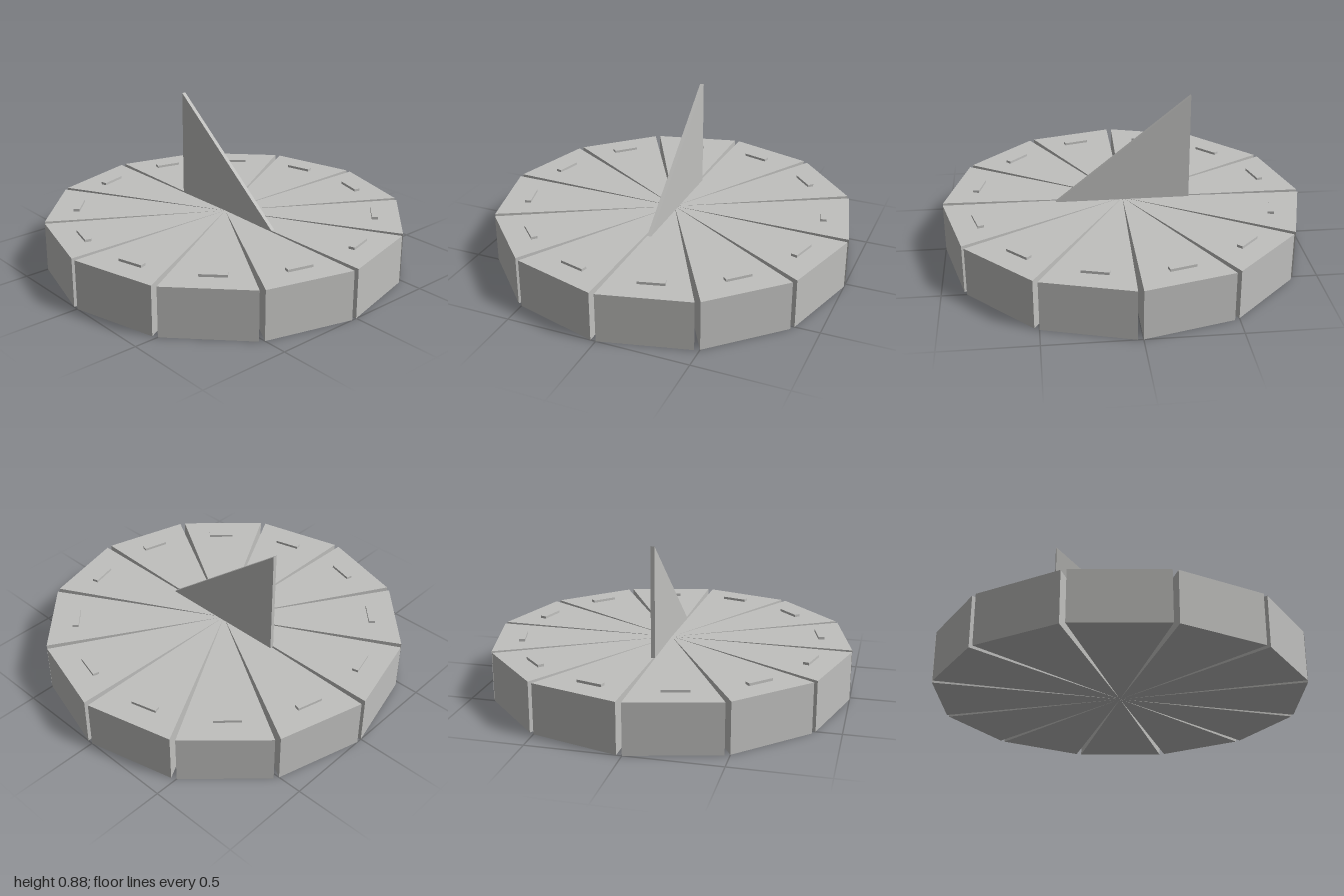
import * as THREE from 'three';

const COUNT = 12;
const BASE_HEIGHT = 0.273;
const STEP = (Math.PI * 2) / COUNT;
const GAP = 0.029; // angular gap at the start of each wedge

// Triangular dial segment lying flat, with its tip at the centre
function wedgeGeometry() {
  const shape = new THREE.Shape([
    new THREE.Vector2(0, 0),
    new THREE.Vector2(Math.cos(GAP), Math.sin(GAP)),
    new THREE.Vector2(Math.cos(STEP), Math.sin(STEP)),
  ]);
  const geo = new THREE.ExtrudeGeometry(shape, { depth: BASE_HEIGHT, bevelEnabled: false });
  return geo.rotateX(Math.PI / 2).translate(0, BASE_HEIGHT, 0);
}

// Thin upright right triangle, sloping up towards the back
function gnomonGeometry() {
  const shape = new THREE.Shape([
    new THREE.Vector2(0.375, BASE_HEIGHT),
    new THREE.Vector2(-0.372, 0.877),
    new THREE.Vector2(-0.372, BASE_HEIGHT),
  ]);
  const geo = new THREE.ExtrudeGeometry(shape, { depth: 0.022, bevelEnabled: false });
  return geo.rotateY(-Math.PI / 2).translate(0.022, 0, 0);
}

export function createModel() {
  const model = new THREE.Group();
  model.name = 'sundial';
  const stone = new THREE.MeshStandardMaterial({ color: 0xc0c0be });
  stone.name = 'grey stone';

  const wedge = wedgeGeometry();
  const mark = new THREE.BoxGeometry(0.034, 0.014, 0.143);

  for (let i = 0; i < COUNT; i++) {
    // Dial segment
    const segment = new THREE.Mesh(wedge, stone);
    segment.name = `dialSegment${i + 1}`;
    segment.rotation.y = -i * STEP;
    model.add(segment);

    // Raised hour mark near the rim of the segment
    const angle = (i + 0.5) * STEP;
    const hourMark = new THREE.Mesh(mark, stone);
    hourMark.name = `hourMark${i + 1}`;
    hourMark.position.set(0.83 * Math.cos(angle), BASE_HEIGHT + 0.007, 0.83 * Math.sin(angle));
    hourMark.rotation.y = -angle;
    model.add(hourMark);
  }

  // Shadow-casting fin
  const gnomon = new THREE.Mesh(gnomonGeometry(), stone);
  gnomon.name = 'gnomon';
  model.add(gnomon);

  return model;
}
